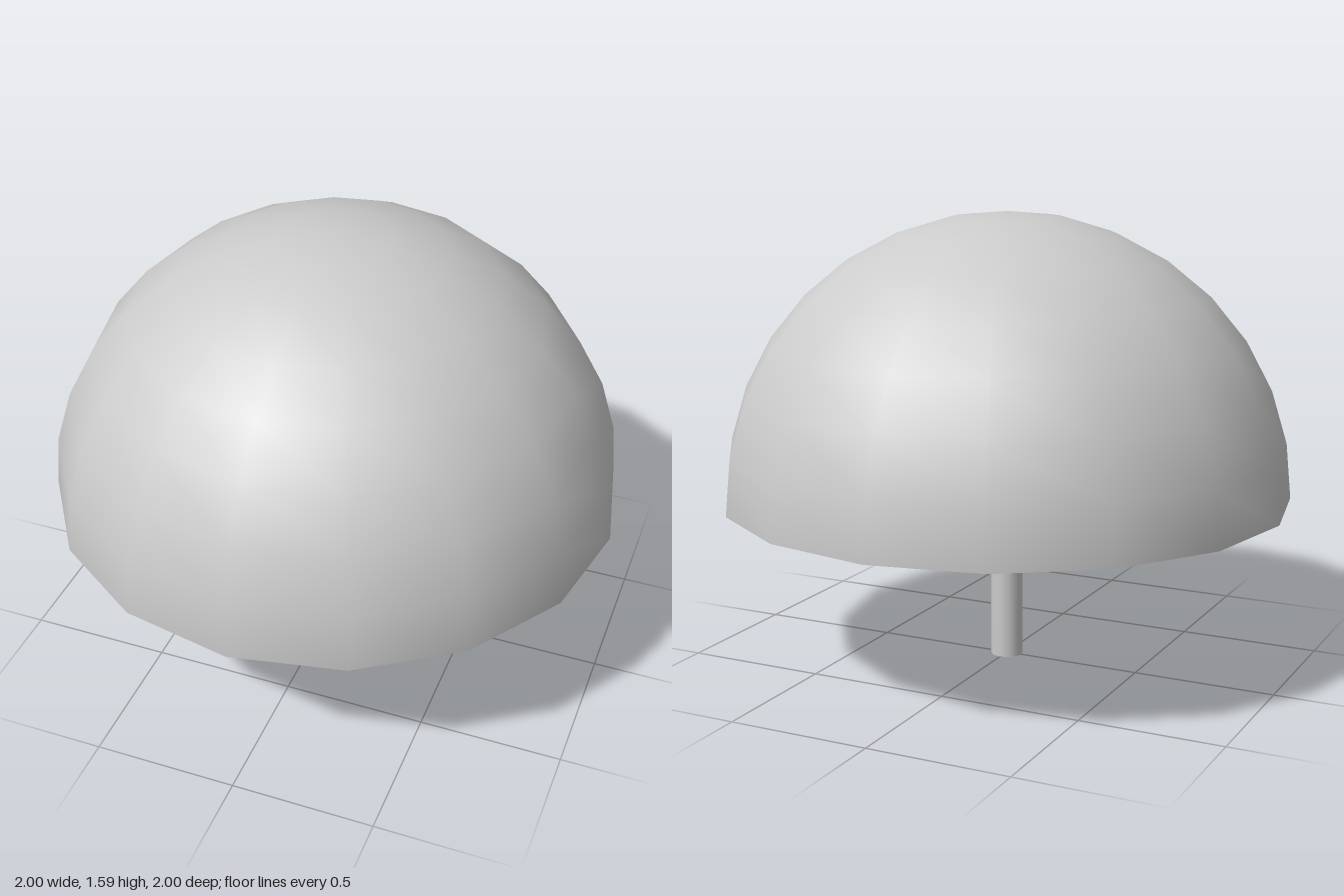
import * as THREE from 'three';

const smooth = new THREE.MeshStandardMaterial({ color: 0xcccccc, side: THREE.DoubleSide });
const flat = new THREE.MeshStandardMaterial({ color: 0xcccccc, flatShading: true });

function add(group, name, geometry, material, x, y, z) {
  const mesh = new THREE.Mesh(geometry, material);
  mesh.name = name;
  mesh.position.set(x, y, z);
  group.add(mesh);
}

export function createModel() {
  const group = new THREE.Group();
  const rim = 0.59;

  // Open half-sphere shell
  add(group, 'dome', new THREE.SphereGeometry(1, 16, 8, 0, Math.PI * 2, 0, Math.PI / 2), smooth, 0, rim, 0);

  // Ten-sided hub whose underside drops towards the back
  const hubZ = -0.04;
  const hub = new THREE.CylinderGeometry(0.37, 0.35, 0.16, 10);
  const p = hub.attributes.position;
  for (let i = 0; i < p.count; i++) {
    if (p.getY(i) > 0) continue;
    const t = THREE.MathUtils.clamp((0.1 - p.getZ(i) - hubZ) / 0.3, 0, 1);
    p.setY(i, THREE.MathUtils.lerp(0.47, 0.433, t) - 0.51);
  }
  add(group, 'hub', hub, flat, 0, 0.51, hubZ);

  // Round collar under the hub
  add(group, 'collar', new THREE.CylinderGeometry(0.13, 0.13, 0.1, 16), smooth, 0, 0.48, 0);

  // Hollow stem
  add(group, 'stem', new THREE.CylinderGeometry(0.057, 0.057, 0.46, 10, 1, true), smooth, 0, 0.23, 0);

  // Forward arm with an arched top and a slightly sloping nose
  const arch = new THREE.Shape();
  arch.moveTo(-0.085, 0);
  arch.lineTo(0.085, 0);
  arch.lineTo(0.08, 0.06);
  arch.lineTo(0.06, 0.095);
  arch.lineTo(0.025, 0.113);
  arch.lineTo(-0.025, 0.113);
  arch.lineTo(-0.06, 0.095);
  arch.lineTo(-0.08, 0.06);
  arch.closePath();
  const arm = new THREE.ExtrudeGeometry(arch, { depth: 0.47, bevelEnabled: false });
  const a = arm.attributes.position;
  for (let i = 0; i < a.count; i++) {
    if (a.getZ(i) > 0.4) a.setZ(i, 0.47 - 0.035 * (a.getY(i) / 0.113) ** 2);
  }
  add(group, 'arm', arm, flat, 0, 0.47, 0.28);

  return group;
}
